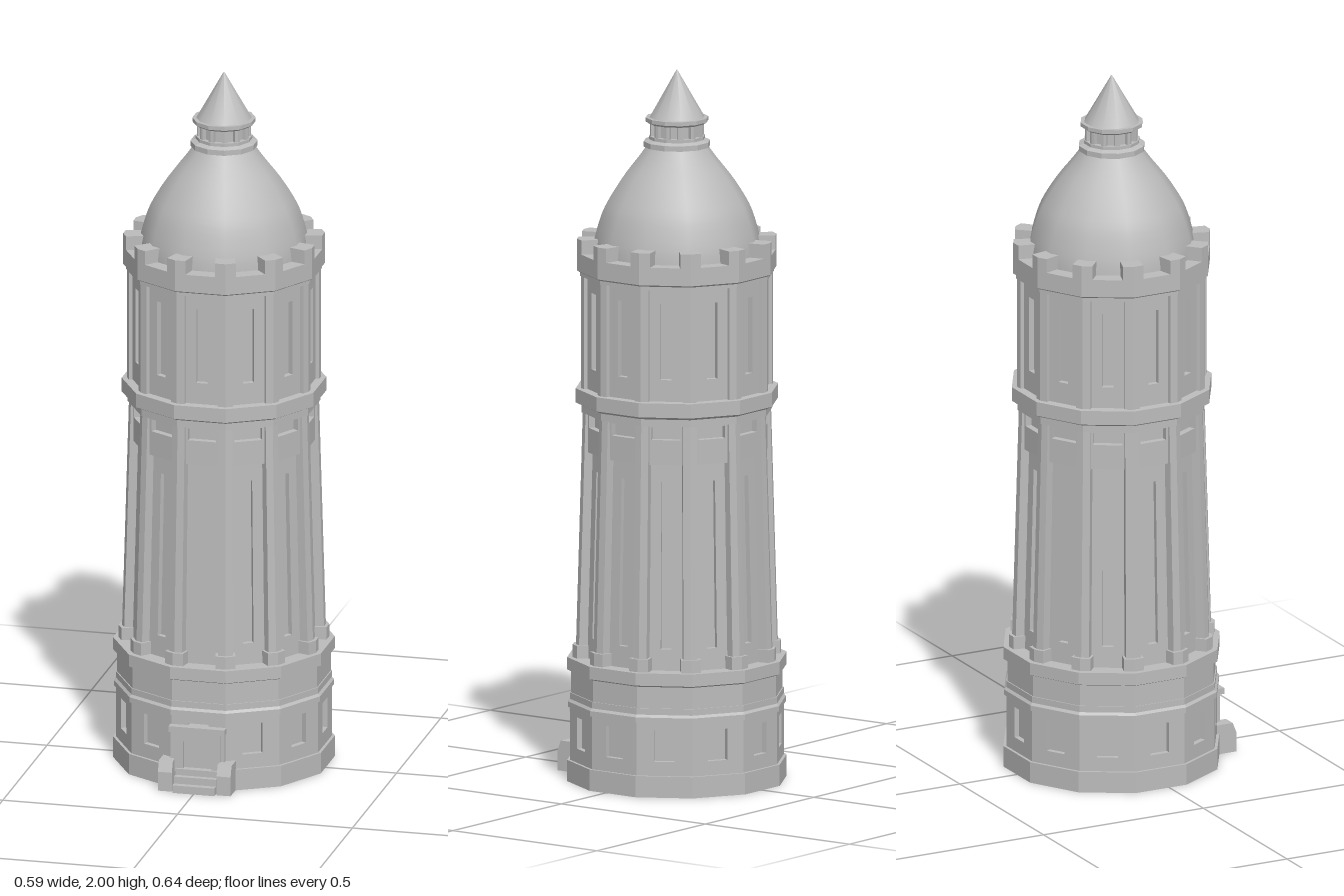
import * as THREE from 'three';

const SIDES = 12;
const STEP = Math.PI / 6;
const HALF = Math.PI / 12;
const stone = new THREE.MeshStandardMaterial({ color: 0xbcbcbc });
stone.name = 'stone grey';

// Twelve-sided turned body; profile is [apothem, y] from bottom to top
function turned(profile, smooth = false) {
  const pts = profile.map(([a, y]) => new THREE.Vector2(a / Math.cos(HALF), y));
  let g = new THREE.LatheGeometry(pts, SIDES, HALF);
  if (!smooth) {
    g = g.toNonIndexed();
    g.computeVertexNormals();
  }
  return g;
}

// Scale a geometry towards the axis between two heights
function taper(g, y0, y1, s) {
  const p = g.attributes.position;
  for (let i = 0; i < p.count; i++) {
    const k = 1 + (s - 1) * (p.getY(i) - y0) / (y1 - y0);
    p.setXYZ(i, p.getX(i) * k, p.getY(i), p.getZ(i) * k);
  }
  g.computeVertexNormals();
  return g;
}

function rect(path, x, y0, y1) {
  path.moveTo(-x, y0);
  path.lineTo(x, y0);
  path.lineTo(x, y1);
  path.lineTo(-x, y1);
  path.closePath();
  return path;
}

// Wall facet at +z, with an optional opening [width, y0, y1]
function facet(apothem, y0, y1, depth, hole) {
  const s = rect(new THREE.Shape(), apothem * Math.tan(HALF), y0, y1);
  if (hole) s.holes.push(rect(new THREE.Path(), hole[0] / 2, hole[1], hole[2]));
  const g = new THREE.ExtrudeGeometry(s, { depth, bevelEnabled: false });
  return g.translate(0, 0, apothem - depth);
}

// Block bent around a corner of the twelve-sided plan, centred on +z
function cornerBlock(apothem, inner, width, y0, y1) {
  const c = apothem / Math.cos(HALF), w = width / 2, d = w * Math.tan(HALF);
  const s = new THREE.Shape();
  s.moveTo(-w, -(c - d));
  s.lineTo(0, -c);
  s.lineTo(w, -(c - d));
  s.lineTo(w * 0.9, -inner);
  s.lineTo(-w * 0.9, -inner);
  s.closePath();
  const g = new THREE.ExtrudeGeometry(s, { depth: y1 - y0, bevelEnabled: false });
  return g.rotateX(-Math.PI / 2).translate(0, y0, 0);
}

export function createModel() {
  const model = new THREE.Group();
  model.name = 'tower';
  const tower = new THREE.Group();
  tower.name = 'towerBody';
  tower.position.z = -0.025;
  model.add(tower);

  const add = (name, g, parent = tower) => {
    const m = new THREE.Mesh(g, stone);
    m.name = name;
    parent.add(m);
    return m;
  };
  // Repeat one geometry round the tower, at faces or at corners
  const ring = (name, g, corner = false, skipFront = false) => {
    const group = new THREE.Group();
    group.name = name + 's';
    tower.add(group);
    for (let i = skipFront ? 1 : 0; i < SIDES; i++) {
      add(name, g, group).rotation.y = i * STEP + (corner ? HALF : 0);
    }
  };

  // Plinth, mouldings, shaft core, cornices and gallery floor
  add('towerCore', turned([
    [0, 0], [0.297, 0], [0.297, 0.06], [0.274, 0.06], [0.274, 0.21],
    [0.295, 0.21], [0.295, 0.225], [0.289, 0.232], [0.289, 0.25], [0.286, 0.25],
    [0.286, 0.31], [0.297, 0.315], [0.297, 0.35], [0.236, 0.35],
    [0.222, 0.93], [0.23, 0.93], [0.23, 1.04], [0.258, 1.04], [0.258, 1.06],
    [0.274, 1.068], [0.274, 1.108], [0.234, 1.11], [0.234, 1.425],
    [0.262, 1.425], [0.262, 1.435], [0.27, 1.44], [0.27, 1.49], [0, 1.49],
  ]));

  // Base storey with square windows
  ring('baseWall', facet(0.289, 0.06, 0.21, 0.025, [0.058, 0.1, 0.188]));

  // Tapering shaft: slit windows, plain front facet, pilasters and their feet
  const TAPER = 0.93;
  ring('shaftWall', taper(facet(0.25, 0.35, 0.94, 0.02, [0.03, 0.41, 0.88]), 0.35, 1.04, TAPER), false, true);
  add('frontShaftWall', taper(facet(0.25, 0.35, 0.94, 0.02), 0.35, 1.04, TAPER));
  ring('pilaster', taper(cornerBlock(0.274, 0.22, 0.042, 0.35, 1.04), 0.35, 1.04, TAPER), true);
  ring('pilasterFoot', cornerBlock(0.282, 0.23, 0.056, 0.35, 0.386), true);
  ring('friezeWall', facet(0.248, 0.93, 1.04, 0.025, [0.08, 1.0, 1.035]));

  // Upper storey
  ring('upperWall', facet(0.25, 1.108, 1.43, 0.02, [0.032, 1.17, 1.385]));
  ring('upperPilaster', cornerBlock(0.26, 0.23, 0.042, 1.108, 1.43), true);

  // Battlements
  ring('merlon', cornerBlock(0.27, 0.222, 0.058, 1.485, 1.53), true);

  // Dome
  const dome = new THREE.SplineCurve([
    [0.229, 1.485], [0.223, 1.53], [0.203, 1.6], [0.178, 1.65],
    [0.146, 1.7], [0.108, 1.75], [0.08, 1.79],
  ].map(([x, y]) => new THREE.Vector2(x, y))).getPoints(18).map(p => [p.x, p.y]);
  add('dome', turned(dome, true));

  // Lantern with small posts and a pointed cap
  add('lantern', turned([
    [0, 1.785], [0.09, 1.785], [0.09, 1.8], [0.076, 1.806], [0.076, 1.815],
    [0.062, 1.815], [0.062, 1.85], [0.076, 1.85], [0.085, 1.856], [0.085, 1.867], [0, 1.867],
  ]));
  ring('lanternPost', cornerBlock(0.073, 0.055, 0.016, 1.81, 1.855), true);
  add('spireCap', turned([[0.075, 1.866], [0.001, 2]], true));

  // Entrance: frame, lintel, door, steps and cheek walls
  const porch = new THREE.Group();
  porch.name = 'entrance';
  model.add(porch);
  const box = (name, x0, x1, y0, y1, z0, z1) => add(name,
    new THREE.BoxGeometry(x1 - x0, y1 - y0, z1 - z0)
      .translate((x0 + x1) / 2, (y0 + y1) / 2, (z0 + z1) / 2), porch);
  box('door', -0.04, 0.04, 0.05, 0.145, 0.24, 0.268);
  box('doorHead', -0.066, 0.066, 0.138, 0.165, 0.24, 0.28);
  box('lintel', -0.08, 0.08, 0.165, 0.182, 0.24, 0.287);
  box('lowerStep', -0.06, 0.06, 0, 0.022, 0.26, 0.322);
  box('middleStep', -0.06, 0.06, 0.02, 0.042, 0.26, 0.304);
  box('upperStep', -0.06, 0.06, 0.04, 0.06, 0.26, 0.288);

  const cheek = new THREE.Shape();
  [[0.25, 0], [0.312, 0], [0.312, 0.055], [0.3, 0.085], [0.25, 0.085]]
    .forEach(([z, y], i) => (i ? cheek.lineTo(-z, y) : cheek.moveTo(-z, y)));
  const cheekGeo = new THREE.ExtrudeGeometry(cheek, { depth: 0.04, bevelEnabled: false })
    .rotateY(Math.PI / 2).translate(-0.02, 0, 0);
  for (const s of [-1, 1]) {
    box('doorJamb', s * 0.053 - 0.013, s * 0.053 + 0.013, 0.05, 0.14, 0.24, 0.28);
    box('outerJamb', s * 0.071 - 0.006, s * 0.071 + 0.006, 0.05, 0.166, 0.24, 0.274);
    add('cheekWall', cheekGeo, porch).position.x = s * 0.084;
  }
  return model;
}
